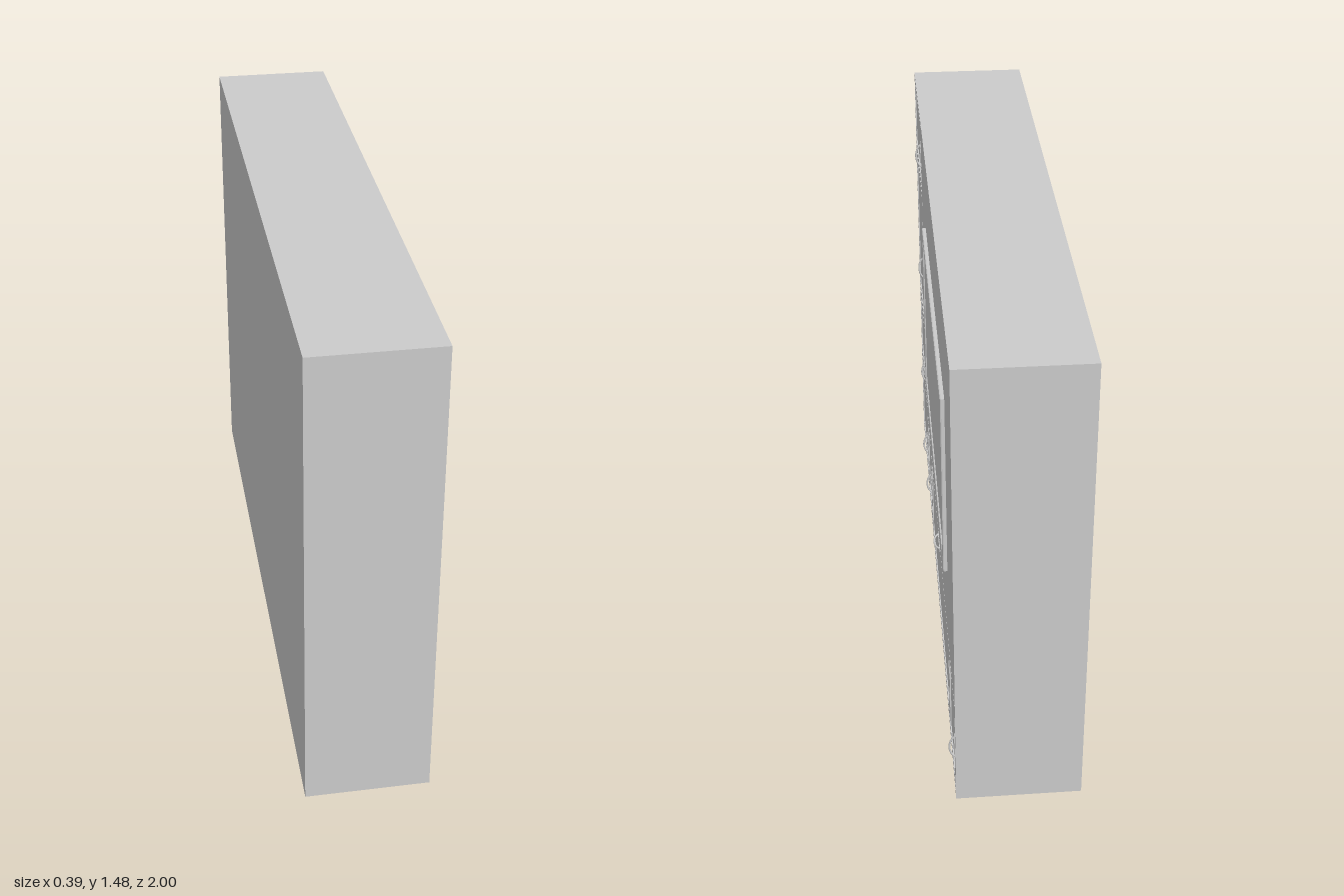
import * as THREE from 'three';

const material = new THREE.MeshStandardMaterial({ color: 0xcccccc });
const FACE = 0.175, BACK = -0.195, WIDTH = 2, HEIGHT = 1.48;
const RECESS = 0.008, GAP = 0.008;

// Door fronts in the plane of the fitted face: [left, right, bottom, top, handle]
const doors = [
  [-0.992, -0.56, 1.218, 1.472, 'upright'],
  [-0.992, -0.56, 0.648, 1.202, 'upright'],
  [-0.992, -0.56, 0.37, 0.63, 'upright'],
  [-0.992, -0.56, 0.014, 0.351, 'upright'],
  [-0.546, -0.308, 0.014, 0.351, 'upright'],
  [-0.292, 0.7, 0.014, 0.351, 'level'],
  [0.716, 0.99, 0.014, 0.351, 'upright'],
];

function add(parent, name, geometry, x = 0, y = 0, z = 0) {
  const mesh = new THREE.Mesh(geometry, material);
  mesh.name = name;
  mesh.position.set(x, y, z);
  parent.add(mesh);
  return mesh;
}

// Rectangle as a Shape or Path, drawn inset by d
function rect(Type, [l, r, b, t], d = 0) {
  const p = new Type();
  p.moveTo(l + d, b + d);
  p.lineTo(r - d, b + d);
  p.lineTo(r - d, t - d);
  p.lineTo(l + d, t - d);
  p.closePath();
  return p;
}

function plate(outer, holes, depth) {
  outer.holes.push(...holes);
  return new THREE.ExtrudeGeometry(outer, { depth, bevelEnabled: false });
}

// Bowed pull on a thin back plate
function createHandle() {
  const handle = new THREE.Group();
  handle.name = 'handle';
  const curve = new THREE.CatmullRomCurve3([
    new THREE.Vector3(0, -0.04, 0),
    new THREE.Vector3(0, -0.025, 0.011),
    new THREE.Vector3(0, 0, 0.016),
    new THREE.Vector3(0, 0.025, 0.011),
    new THREE.Vector3(0, 0.04, 0),
  ]);
  add(handle, 'handleBow', new THREE.TubeGeometry(curve, 24, 0.003, 8));
  add(handle, 'handlePlate', new THREE.BoxGeometry(0.008, 0.1, 0.002), 0, 0, 0.001);
  return handle;
}

function createDoor(bounds) {
  const [l, r, b, t, kind] = bounds;
  const door = new THREE.Group();
  door.name = 'door';

  // Flush frame around a slightly sunken panel
  const frame = plate(rect(THREE.Shape, bounds, GAP), [rect(THREE.Path, bounds, 0.024)], RECESS);
  add(door, 'doorFrame', frame, 0, 0, FACE - RECESS);
  const panel = new THREE.ExtrudeGeometry(rect(THREE.Shape, bounds, 0.032), {
    depth: 0.003, bevelEnabled: true, bevelThickness: 0.002, bevelSize: 0.003, bevelSegments: 1,
  });
  add(door, 'doorPanel', panel, 0, 0, FACE - RECESS);

  const handle = createHandle();
  if (kind === 'level') {
    handle.rotation.z = Math.PI / 2;
    handle.position.set((l + r) / 2, t - 0.016, FACE);
  } else {
    handle.position.set(r - 0.016, (b + t) / 2 + 0.005, FACE);
  }
  door.add(handle);
  return door;
}

function createScreen() {
  const screen = new THREE.Group();
  screen.name = 'television';
  const bounds = [-0.305, 0.72, 0.63, 1.217];
  const inner = [-0.283, 0.695, 0.655, 1.195];

  // Bezel with softened edges
  const outline = rect(THREE.Shape, bounds, 0.004);
  outline.holes.push(rect(THREE.Path, inner, -0.004));
  add(screen, 'screenBezel', new THREE.ExtrudeGeometry(outline, {
    depth: 0.009, bevelEnabled: true, bevelThickness: 0.004, bevelSize: 0.004, bevelSegments: 2,
  }), 0, 0, FACE);

  add(screen, 'screenGlass', plate(rect(THREE.Shape, inner, -0.004), [], 0.008), 0, 0, FACE);
  return screen;
}

export function createModel() {
  const model = new THREE.Group();
  model.name = 'mediaWall';

  // The fitted face is laid out in x/y, then turned to look along +x
  const unit = new THREE.Group();
  unit.name = 'wallUnit';
  unit.rotation.y = Math.PI / 2;
  model.add(unit);

  const depth = FACE - RECESS - BACK;
  add(unit, 'carcass', new THREE.BoxGeometry(WIDTH, HEIGHT, depth), 0, HEIGHT / 2, BACK + depth / 2);

  // Front skin with an opening for every door
  const openings = doors.map((d) => rect(THREE.Path, d));
  const skin = plate(rect(THREE.Shape, [-1, 1, 0, HEIGHT]), openings, RECESS);
  add(unit, 'frontSkin', skin, 0, 0, FACE - RECESS);

  doors.forEach((d) => unit.add(createDoor(d)));
  unit.add(createScreen());
  return model;
}
